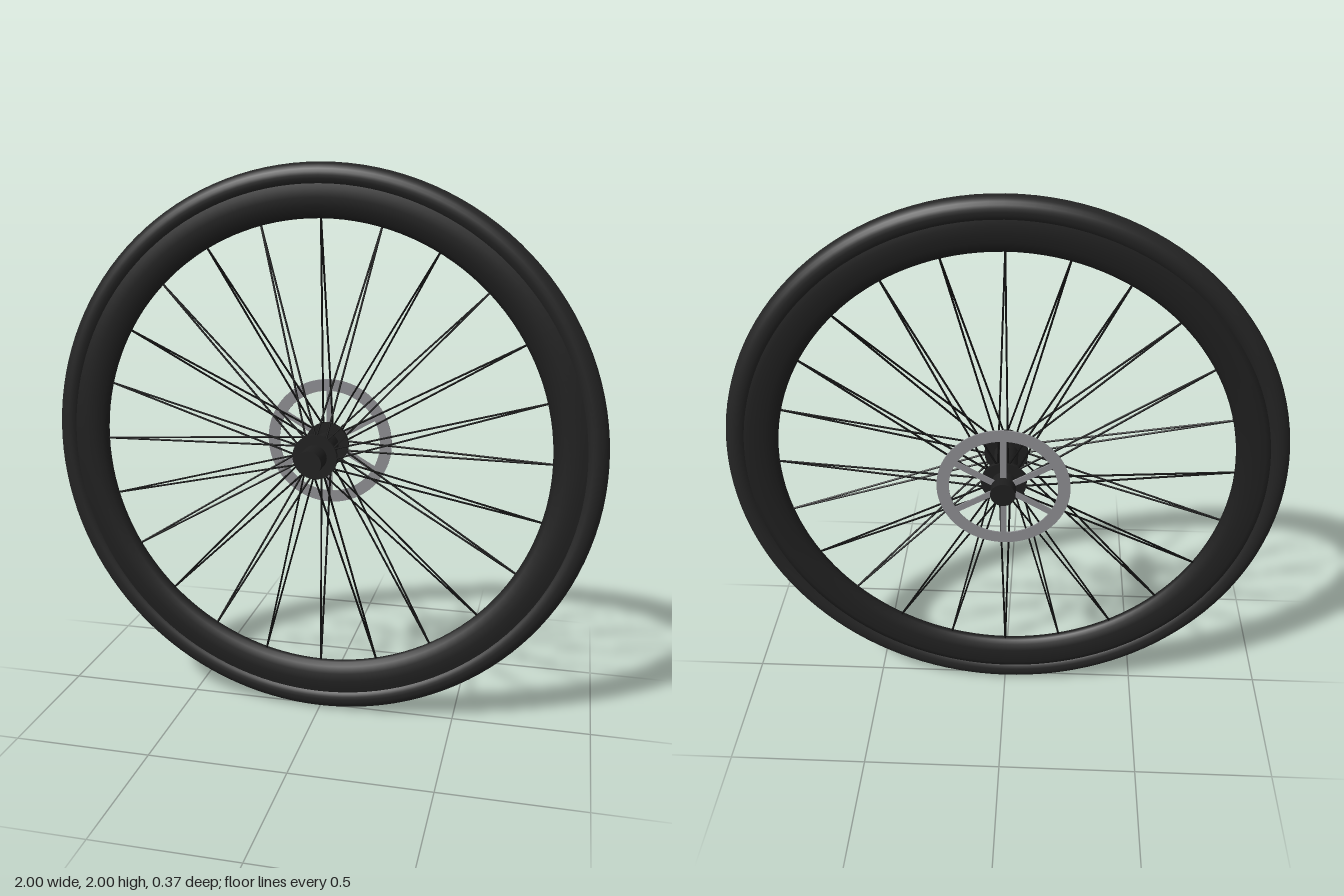
import * as THREE from 'three';

const material = (name, color) => {
  const m = new THREE.MeshStandardMaterial({ color });
  m.name = name;
  return m;
};

export function createModel() {
  const model = new THREE.Group();
  model.name = 'wheel';
  const wheel = new THREE.Group();
  wheel.name = 'wheelAssembly';
  wheel.position.y = 1;
  model.add(wheel);

  const rubber = material('tyre rubber', 0x242424);
  const rimBlack = material('rim black', 0x1f1f1f);
  const hubBlack = material('hub black', 0x1e1e1e);
  const spokeBlack = material('spoke black', 0x101010);
  const steel = material('disc steel', 0x8c8c90);

  const add = (name, geometry, mat, parent = wheel) => {
    const mesh = new THREE.Mesh(geometry, mat);
    mesh.name = name;
    parent.add(mesh);
    return mesh;
  };

  // Tyre
  add('tyre', new THREE.TorusGeometry(0.957, 0.043, 24, 128), rubber);

  // Deep rim, closed rounded section turned around the axle
  const half = [[0.935, 0.032], [0.912, 0.036], [0.885, 0.037], [0.855, 0.033], [0.83, 0.024], [0.817, 0.012]];
  const section = [
    ...half.map(([r, z]) => new THREE.Vector2(r, z)),
    new THREE.Vector2(0.814, 0),
    ...half.slice().reverse().map(([r, z]) => new THREE.Vector2(r, -z)),
    new THREE.Vector2(0.935, 0.032),
  ].reverse();
  const rimMaterial = rimBlack;
  rimMaterial.side = THREE.DoubleSide;
  add('rim', new THREE.LatheGeometry(section, 128).rotateX(Math.PI / 2), rimMaterial);

  // Hub barrel and the two spoke flanges
  const drum = (name, r, depth, z) =>
    add(name, new THREE.CylinderGeometry(r, r, depth, 32).rotateX(Math.PI / 2), hubBlack).position.z = z;
  const flangeZ = { front: 0.09, back: -0.1 };
  drum('hub', 0.044, 0.368, 0);
  drum('frontFlange', 0.08, 0.014, flangeZ.front);
  drum('backFlange', 0.08, 0.014, flangeZ.back);

  // Spokes: pairs meet at the rim and alternate between the flanges
  const spokes = new THREE.Group();
  spokes.name = 'spokes';
  wheel.add(spokes);
  const up = new THREE.Vector3(0, 1, 0);
  const polar = (r, a, z) => new THREE.Vector3(r * Math.cos(a), r * Math.sin(a), z);
  for (let i = 0; i < 24; i++) {
    const a = (i * Math.PI) / 12;
    const z = i % 2 ? flangeZ.front : flangeZ.back;
    for (const spread of [-0.3, 0.2]) {
      const outer = polar(0.825, a, 0);
      const inner = polar(0.072, a + spread, z);
      const dir = outer.clone().sub(inner);
      const spoke = add('spoke', new THREE.CylinderGeometry(0.0036, 0.0036, dir.length(), 6), spokeBlack, spokes);
      spoke.position.copy(inner).addScaledVector(dir, 0.5);
      spoke.quaternion.setFromUnitVectors(up, dir.normalize());
    }
  }

  // Brake disc: thin ring carried by six arms behind the back flange
  const disc = new THREE.Group();
  disc.name = 'brakeDisc';
  disc.position.z = -0.138;
  wheel.add(disc);
  const ring = new THREE.Shape().absarc(0, 0, 0.233, 0, Math.PI * 2, false);
  ring.holes.push(new THREE.Path().absarc(0, 0, 0.19, 0, Math.PI * 2, true));
  add('discRing', new THREE.ExtrudeGeometry(ring, { depth: 0.005, bevelEnabled: false, curveSegments: 48 })
    .translate(0, 0, -0.0025), steel, disc);
  for (let i = 0; i < 6; i++) {
    const arm = add('discArm', new THREE.BoxGeometry(0.16, 0.022, 0.005).translate(0.118, 0, 0), steel, disc);
    arm.rotation.z = Math.PI / 6 + (i * Math.PI) / 3;
  }

  return model;
}
